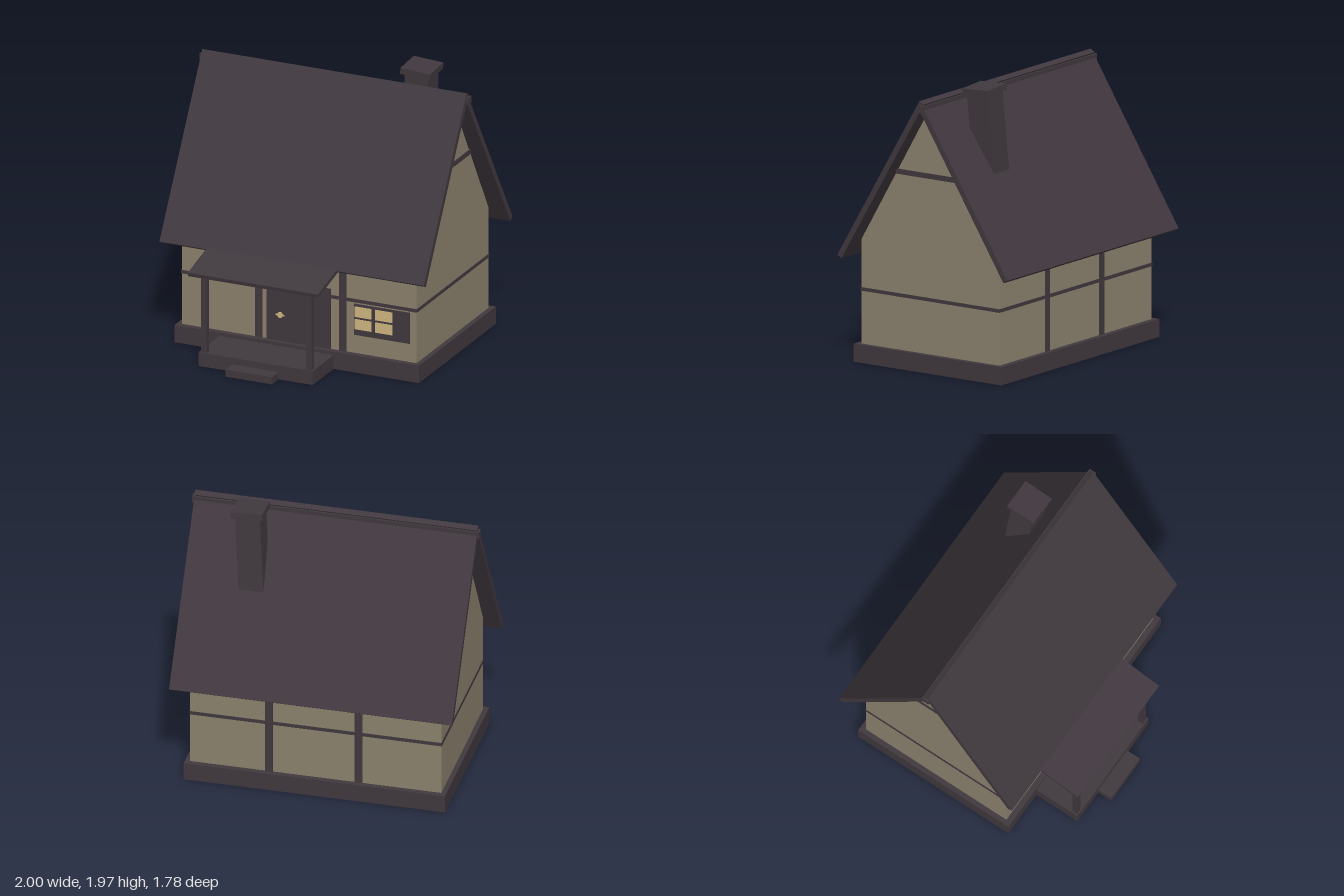
import * as THREE from 'three';

export function createModel() {
  const house = new THREE.Group();
  house.name = 'cottage';

  const mat = (name, color) => {
    const m = new THREE.MeshStandardMaterial({ color });
    m.name = name;
    return m;
  };
  const timber = mat('dark timber', 0x40383e);
  const plaster = mat('plaster', 0x8b816d);
  const glow = mat('warm yellow', 0xd0b67f);

  const add = (name, geometry, material, parent = house) => {
    const mesh = new THREE.Mesh(geometry, material);
    mesh.name = name;
    parent.add(mesh);
    return mesh;
  };
  // Box given by its lower and upper limits on each axis
  const box = (name, material, [x0, x1], [y0, y1], [z0, z1], parent) => {
    const mesh = add(name, new THREE.BoxGeometry(x1 - x0, y1 - y0, z1 - z0), material, parent);
    mesh.position.set((x0 + x1) / 2, (y0 + y1) / 2, (z0 + z1) / 2);
    return mesh;
  };
  // Sloping slab whose centre line runs between two [z, y] points
  const slab = (name, [x0, x1], a, b, thickness) => {
    const dz = b[0] - a[0], dy = b[1] - a[1];
    const mesh = add(name, new THREE.BoxGeometry(x1 - x0, thickness, Math.hypot(dz, dy)), timber);
    mesh.position.set((x0 + x1) / 2, (a[1] + b[1]) / 2, (a[0] + b[0]) / 2);
    mesh.rotation.x = Math.atan2(-dy, dz);
    return mesh;
  };

  // Plinth and gabled walls
  box('plinth', timber, [-0.91, 0.91], [0, 0.125], [-0.78, 0.45]);
  const gable = new THREE.Shape([
    [-0.41, 0.12], [0.74, 0.12], [0.74, 0.85], [0.16, 1.83], [-0.41, 0.85],
  ].map(([u, y]) => new THREE.Vector2(u, y)));
  const walls = add('walls', new THREE.ExtrudeGeometry(gable, { depth: 1.75, bevelEnabled: false }), plaster);
  walls.rotation.y = Math.PI / 2;
  walls.position.x = -0.875;

  // Timber framing, running through the house and just proud of the walls
  box('wallRail', timber, [-0.879, 0.879], [0.492, 0.516], [-0.744, 0.414]);
  box('gableRail', timber, [-0.879, 0.879], [1.342, 1.378], [-0.45, 0.12]);
  for (const x of [-0.3, 0.325]) {
    box('wallPost', timber, [x - 0.027, x + 0.027], [0.12, 0.85], [-0.745, 0.415]);
  }

  // Main roof
  slab('frontRoof', [-0.985, 0.985], [-0.17, 1.89], [0.515, 0.735], 0.04);
  slab('backRoof', [-0.985, 0.985], [-0.16, 1.86], [-0.87, 0.742], 0.04);
  box('ridgeBeam', timber, [-1, 1], [1.82, 1.87], [-0.195, -0.143]);

  // Leaning chimney
  const chimney = new THREE.Group();
  chimney.name = 'chimney';
  chimney.position.set(0.545, 1.915, -0.378);
  chimney.rotation.set(0.055, 0, -0.06);
  house.add(chimney);
  box('chimneyStack', timber, [-0.087, 0.087], [-0.62, 0], [-0.087, 0.087], chimney);
  box('chimneyCap', timber, [-0.11, 0.11], [-0.005, 0.04], [-0.108, 0.108], chimney);

  // Door with knob and handle
  box('door', timber, [-0.24, 0.235], [0.12, 0.56], [0.4, 0.419]);
  const knob = add('doorKnob', new THREE.CylinderGeometry(0.021, 0.021, 0.008, 10), glow);
  knob.rotation.x = Math.PI / 2;
  knob.position.set(-0.138, 0.313, 0.422);
  box('doorHandle', glow, [-0.17, -0.106], [0.308, 0.318], [0.418, 0.425]);

  // Window with four lit panes
  box('windowFrame', timber, [0.41, 0.825], [0.258, 0.482], [0.4, 0.417]);
  for (const [x0, x1] of [[0.415, 0.542], [0.568, 0.697]]) {
    for (const [y0, y1] of [[0.3, 0.374], [0.389, 0.465]]) {
      box('windowPane', glow, [x0, x1], [y0, y1], [0.415, 0.42]);
    }
  }

  // Porch
  box('porchDeck', timber, [-0.575, 0.275], [0, 0.1], [0.44, 0.785]);
  box('porchStep', timber, [-0.325, 0.02], [0, 0.052], [0.78, 0.89]);
  for (const x of [-0.542, 0.242]) {
    box('porchPost', timber, [x - 0.02, x + 0.02], [0.095, 0.675], [0.735, 0.775]);
  }
  slab('porchRoof', [-0.635, 0.335], [0.4, 0.77], [0.827, 0.667], 0.027);

  return house;
}
